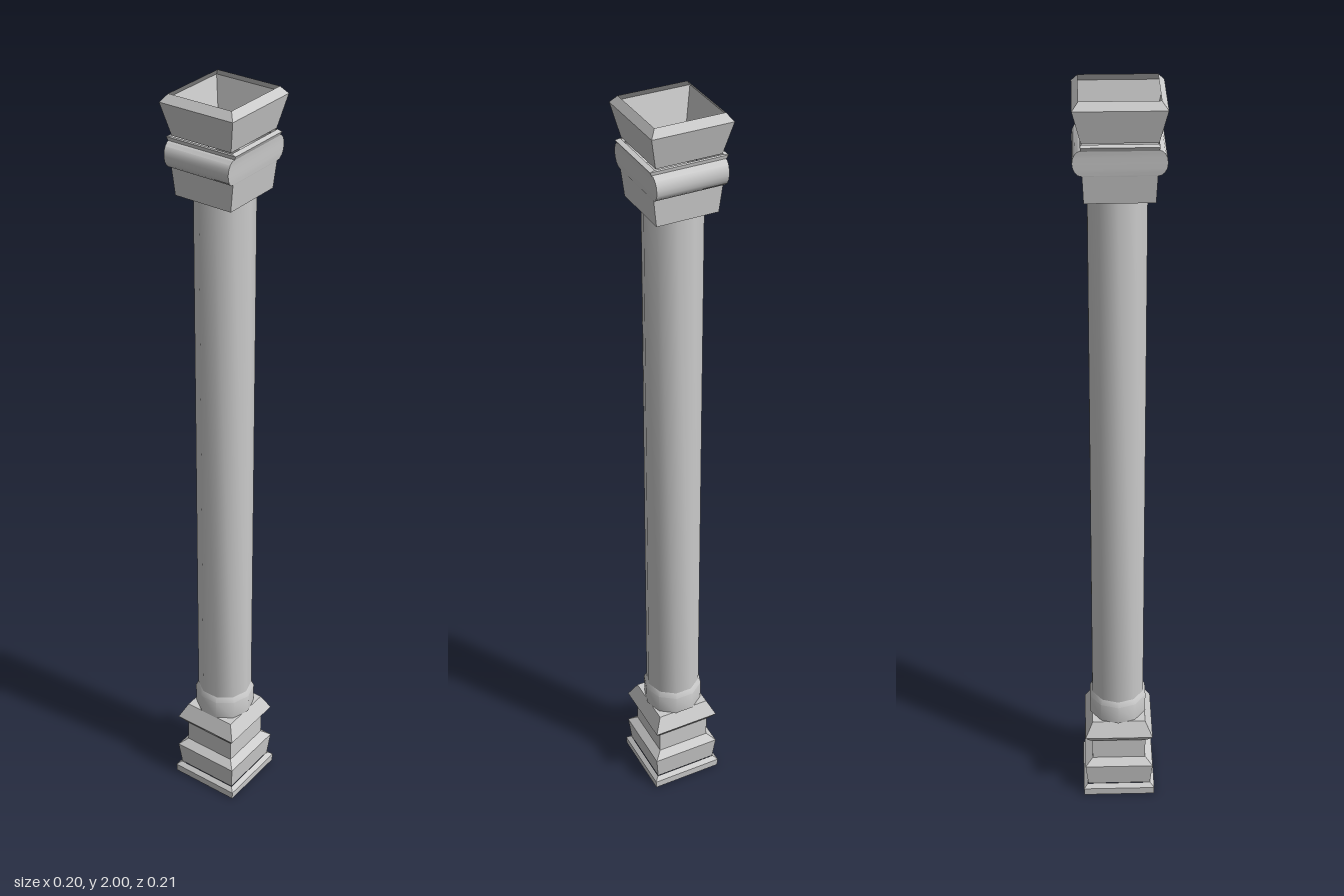
import * as THREE from 'three';
import { toCreasedNormals } from 'three/addons/utils/BufferGeometryUtils.js';

const material = new THREE.MeshStandardMaterial({ color: 0xcccccc, side: THREE.DoubleSide });

function addPart(group, name, geometry) {
  const mesh = new THREE.Mesh(toCreasedNormals(geometry, 0.7), material);
  mesh.name = name;
  group.add(mesh);
  return mesh;
}

// Rectangular moulding through sections [y, half width, half depth], bottom to top
function moulding(sections, closedTop = false) {
  const points = [], index = [];
  for (const [y, w, d = w] of sections) {
    points.push(-w, y, d, w, y, d, w, y, -d, -w, y, -d);
  }
  for (let s = 0; s < sections.length - 1; s++) {
    for (let k = 0; k < 4; k++) {
      const a = s * 4 + k, b = s * 4 + (k + 1) % 4;
      index.push(a, b, b + 4, a, b + 4, a + 4);
    }
  }
  if (closedTop) {
    const t = (sections.length - 1) * 4;
    index.push(t, t + 1, t + 2, t, t + 2, t + 3);
  }
  const geometry = new THREE.BufferGeometry();
  geometry.setAttribute('position', new THREE.Float32BufferAttribute(points, 3));
  geometry.setIndex(index);
  return geometry;
}

// Ten-sided turned part with flat sides towards the front and back
function decagon(profile) {
  const geometry = new THREE.LatheGeometry(profile.map(([r, y]) => new THREE.Vector2(r, y)), 10);
  return geometry.rotateY(Math.PI / 2);
}

export function createModel() {
  const group = new THREE.Group();
  group.name = 'column';

  // Stepped square base, hollow underneath
  const base = new THREE.Group();
  base.name = 'base';
  base.position.z = -0.002;
  group.add(base);
  addPart(base, 'plinth', moulding([[0, 0.096], [0.022, 0.097], [0.032, 0.086]]));
  addPart(base, 'lowerBlock', moulding([[0.032, 0.085], [0.098, 0.092], [0.115, 0.072]]));
  addPart(base, 'dado', moulding([[0.115, 0.072], [0.18, 0.072]]));
  addPart(base, 'upperMoulding', moulding([[0.18, 0.077], [0.2, 0.091], [0.242, 0.071]], true));

  // Round collar and shaft
  const collar = addPart(group, 'collar', decagon([[0.078, 0.242], [0.079, 0.296], [0.071, 0.312]]));
  const shaft = addPart(group, 'shaft', decagon([[0.072, 0.3], [0.072, 1.765], [0, 1.765]]));
  for (const part of [collar, shaft]) part.position.set(-0.001, 0, -0.004);

  // Capital with rounded rolls on the front and back
  const capital = new THREE.Group();
  capital.name = 'capital';
  group.add(capital);
  addPart(capital, 'neckBlock', moulding([[1.76, 0.077, 0.081], [1.828, 0.085, 0.084]]));
  const roll = [];
  for (let i = 0; i <= 8; i++) {
    const a = -Math.PI / 2 + (i / 8) * Math.PI;
    roll.push([1.859 + 0.031 * Math.sin(a), 0.086 + 0.004 * i / 8, 0.084 + 0.022 * Math.cos(a)]);
  }
  addPart(capital, 'rolls', moulding(roll));
  addPart(capital, 'ledge', moulding([[1.888, 0.09, 0.086], [1.898, 0.095, 0.088], [1.901, 0.083, 0.086]]));

  // Flared open top
  addPart(capital, 'abacus', moulding([[1.903, 0.081, 0.086], [1.982, 0.099, 0.105], [2, 0.085, 0.09]]));
  return group;
}
